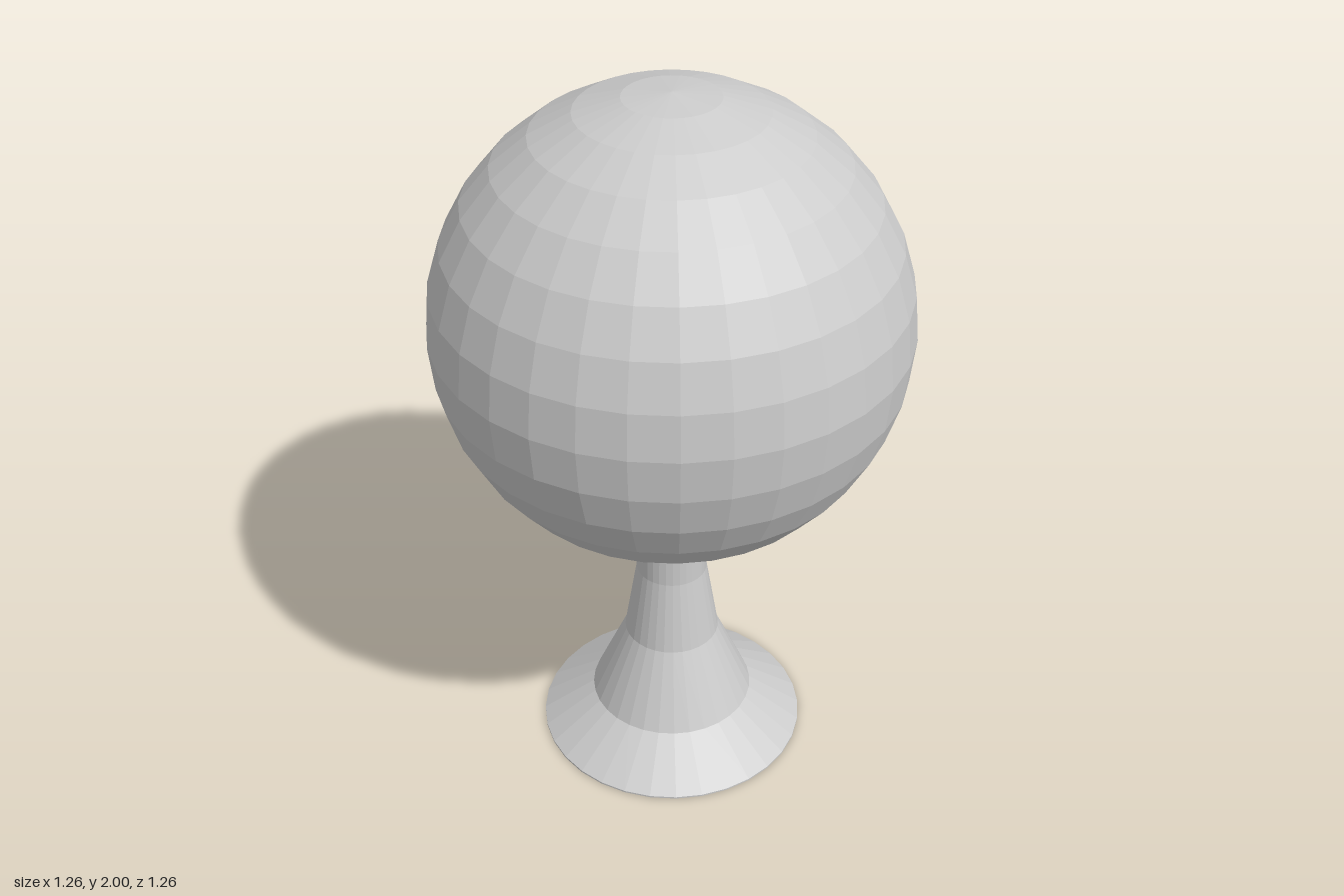
import * as THREE from 'three';

export function createModel() {
  const group = new THREE.Group();
  const material = new THREE.MeshStandardMaterial({ color: 0xcccccc, flatShading: true });

  // Faceted globe
  const globe = new THREE.Mesh(new THREE.SphereGeometry(0.632, 32, 16), material);
  globe.name = 'globe';
  globe.position.y = 1.368;
  group.add(globe);

  // Flared pedestal with a closed underside, reaching just into the globe
  const profile = [
    [0, 0], [0.382, 0], [0.382, 0.005], [0.233, 0.11], [0.135, 0.335], [0.1, 0.555], [0.096, 0.76],
  ].map(([r, y]) => new THREE.Vector2(r, y));
  const pedestal = new THREE.Mesh(new THREE.LatheGeometry(profile, 32), material);
  pedestal.name = 'pedestal';
  group.add(pedestal);

  return group;
}
